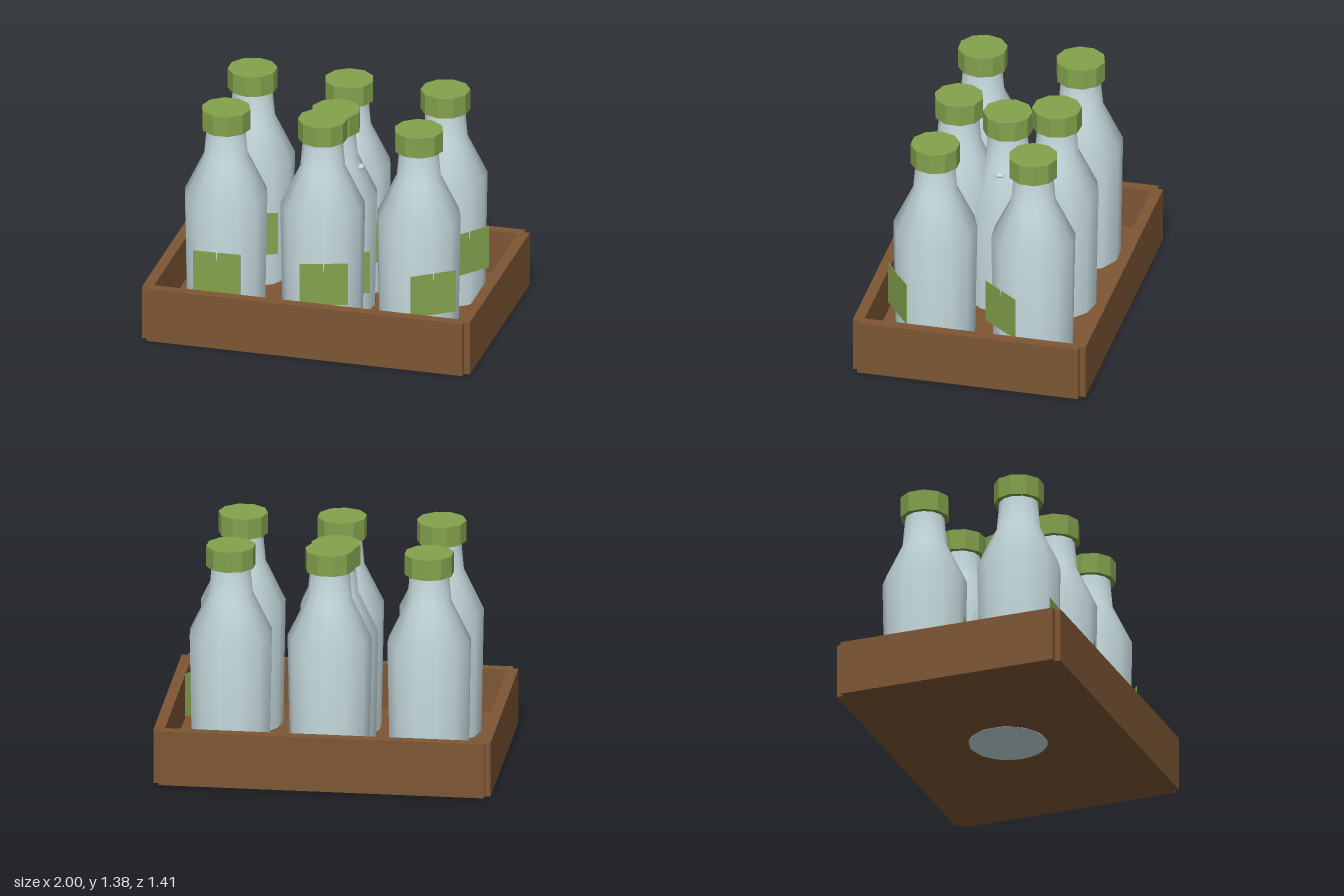
import * as THREE from 'three';

export function createModel() {
  const group = new THREE.Group();
  const wood = new THREE.MeshStandardMaterial({ color: 0x7d5634 });
  wood.name = 'brown wood';
  const glass = new THREE.MeshStandardMaterial({ color: 0xc4d8dc });
  glass.name = 'pale glass';
  const green = new THREE.MeshStandardMaterial({ color: 0x84a24d });
  green.name = 'leaf green';

  const add = (parent, name, geometry, material, x = 0, y = 0, z = 0) => {
    const mesh = new THREE.Mesh(geometry, material);
    mesh.name = name;
    mesh.position.set(x, y, z);
    parent.add(mesh);
    return mesh;
  };

  // Crate: four boards with small steps at the corners
  const crate = new THREE.Group();
  crate.name = 'crate';
  group.add(crate);
  const H = 0.335, T = 0.065, FLOOR = 0.068;
  for (const s of [1, -1]) {
    add(crate, s > 0 ? 'frontBoard' : 'backBoard',
      new THREE.BoxGeometry(1.93, H, T), wood, 0, H / 2, s * (0.705 - T / 2));
    add(crate, s > 0 ? 'leftBoard' : 'rightBoard',
      new THREE.BoxGeometry(T, H, 1.34), wood, s * (1 - T / 2), H / 2, 0);
  }

  // Floor with a round hole that holds the middle bottle
  const floor = new THREE.Shape([
    new THREE.Vector2(-0.96, -0.66), new THREE.Vector2(0.96, -0.66),
    new THREE.Vector2(0.96, 0.66), new THREE.Vector2(-0.96, 0.66),
  ]);
  const hole = new THREE.Path();
  hole.absarc(0, 0, 0.235, 0, Math.PI * 2, true);
  floor.holes.push(hole);
  const floorGeo = new THREE.ExtrudeGeometry(floor, { depth: FLOOR, bevelEnabled: false, curveSegments: 12 });
  floorGeo.rotateX(-Math.PI / 2);
  add(crate, 'floor', floorGeo, wood);

  // Shared bottle parts
  const lathe = (pts) => new THREE.LatheGeometry(pts.map(([r, y]) => new THREE.Vector2(r, y)), 12);
  const bodyGeo = lathe([[0.236, 0], [0.25, 0.762], [0.132, 1.007], [0.115, 1.2]]);
  const baseGeo = lathe([[0, 0.05], [0.12, 0.035], [0.236, 0]]);
  const capGeo = new THREE.CylinderGeometry(0.147, 0.147, 0.126, 10);
  capGeo.rotateY(Math.PI / 10);
  const capMat = green.clone();
  capMat.name = 'leaf green';
  capMat.flatShading = true;
  const labelGeo = new THREE.BoxGeometry(0.285, 0.265, 0.004);

  // Position (x, y, z) and facing angle in degrees of each bottle
  const bottles = [
    [-0.59, FLOOR, 0.297, 2], [0, FLOOR, 0.297, 16.5], [0.587, FLOOR, 0.297, 36],
    [-0.59, FLOOR, -0.297, 17], [0, FLOOR, -0.297, 32], [0.587, FLOOR, -0.297, 51],
    [0, 0, 0, 30],
  ];
  for (const [x, y, z, angle] of bottles) {
    const bottle = new THREE.Group();
    bottle.name = 'bottle';
    bottle.position.set(x, y, z);
    bottle.rotation.y = THREE.MathUtils.degToRad(angle);
    add(bottle, 'bottleBody', bodyGeo, glass);
    add(bottle, 'bottleBase', baseGeo, glass);
    add(bottle, 'cap', capGeo, capMat, 0, 1.244, 0);
    // Flat label, just pierced by the glass at its top centre
    add(bottle, 'label', labelGeo, green, 0, 0.342, 0.2415);
    group.add(bottle);
  }

  // Small glass bead on the shoulder of the middle bottle
  const bead = add(group, 'bead', new THREE.SphereGeometry(1, 10, 8), glass, 0.158, 0.958, 0.012);
  bead.scale.set(0.02, 0.015, 0.03);

  return group;
}
